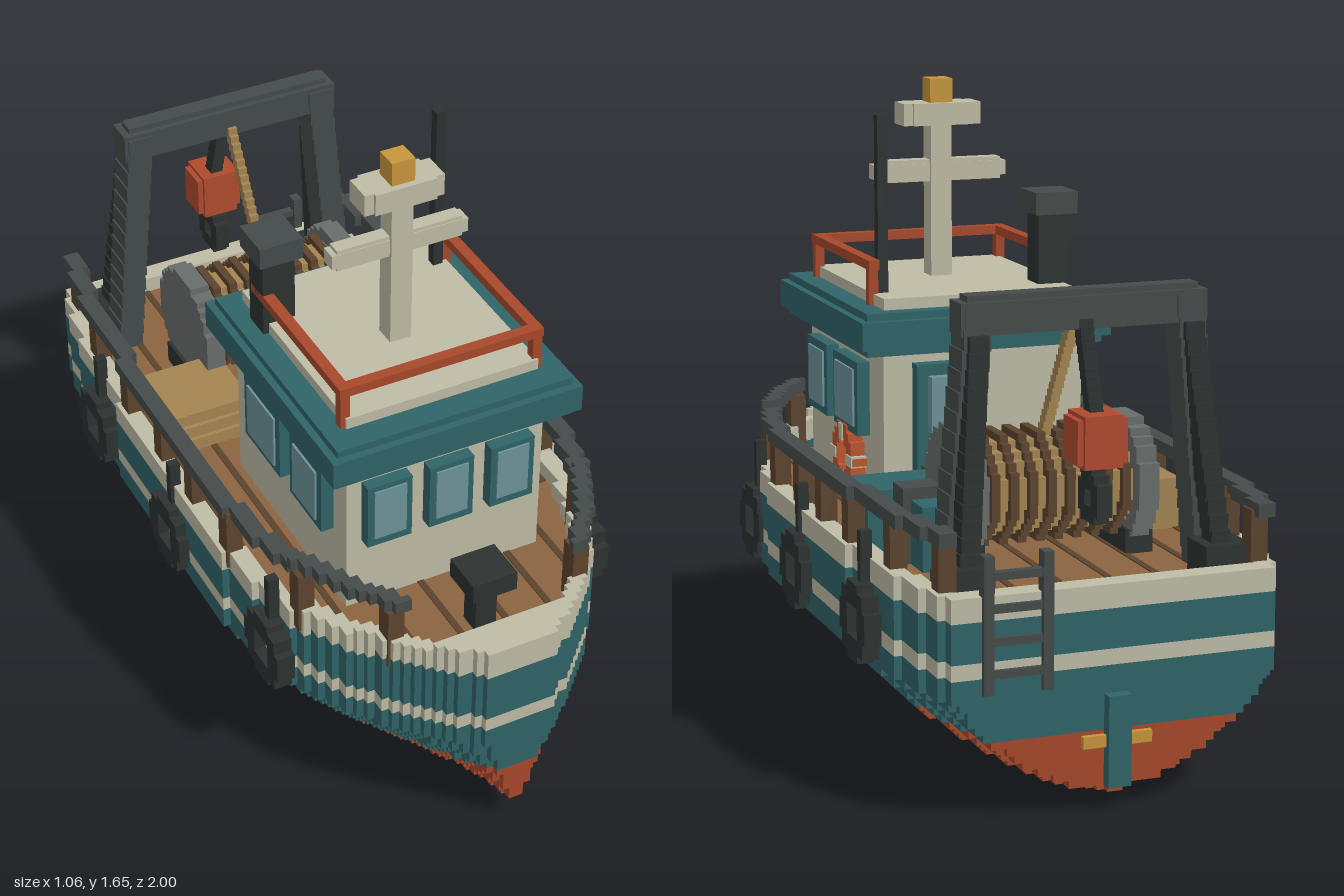
import * as THREE from 'three';
import { mergeGeometries } from 'three/addons/utils/BufferGeometryUtils.js';

const CREAM = 0xbfbca6, TEAL = 0x2f6468, RED = 0xa8482a, WOOD = 0x8a6440, DARKWOOD = 0x5c442e, TAN = 0xa58552;
const GREY = 0x454b4a, BLACK = 0x2d3231, GLASS = 0x6d949b, GOLD = 0xc8963c, STEEL = 0x686d6b;
const S = 0.0201, Z0 = -0.97, N = 98; // block size, stern position, slices along the hull

// a box is [x0, x1, y0, y1, z0, z1]
const block = (x, y, z, w, h, d) => [x - w / 2, x + w / 2, y - h / 2, y + h / 2, z - d / 2, z + d / 2];
const mirror = boxes => boxes.concat(boxes.map(([a, b, ...r]) => [-b, -a, ...r]));

function part(group, name, color, boxes) {
  const geos = boxes.map(([x0, x1, y0, y1, z0, z1]) =>
    new THREE.BoxGeometry(x1 - x0, y1 - y0, z1 - z0).translate((x0 + x1) / 2, (y0 + y1) / 2, (z0 + z1) / 2));
  const mesh = new THREE.Mesh(mergeGeometries(geos), new THREE.MeshStandardMaterial({ color }));
  mesh.name = name;
  group.add(mesh);
}

// stepped disc or ring with its axis along x
function disc(x0, x1, cy, cz, R, hole = 0) {
  const out = [], rows = Math.round(2 * R / 0.02), h = 2 * R / rows;
  for (let i = 0; i < rows; i++) {
    const y = cy - R + i * h, dy = y + h / 2 - cy;
    const snap = r => Math.round(Math.sqrt(Math.max(0, r * r - dy * dy)) / 0.02) * 0.02;
    const a = snap(R), b = snap(hole);
    if (b > 0) out.push([x0, x1, y, y + h, cz - a, cz - b], [x0, x1, y, y + h, cz + b, cz + a]);
    else out.push([x0, x1, y, y + h, cz - a, cz + a]);
  }
  return out;
}

// stepped bar between two points
function bar(a, b, n, w, h, d) {
  return Array.from({ length: n }, (_, i) => {
    const p = a.map((v, k) => v + (b[k] - v) * i / (n - 1));
    return block(...p, w, h, d);
  });
}

function lerpTable(t, x) {
  for (let i = 1; i < t.length; i++) {
    if (x <= t[i][0]) {
      const [a, p] = t[i - 1], [b, q] = t[i];
      return p + (q - p) * Math.max(0, (x - a) / (b - a));
    }
  }
  return t[t.length - 1][1];
}

const OUTLINE = [[-0.97, 0.42], [-0.88, 0.44], [-0.8, 0.46], [-0.65, 0.48], [-0.4, 0.49], [0.3, 0.49], [0.42, 0.475],
  [0.5, 0.455], [0.6, 0.425], [0.7, 0.37], [0.8, 0.3], [0.9, 0.21], [0.96, 0.145], [1, 0.08]];
const KEEL = [[-0.97, 0.05], [-0.8, 0.03], [-0.47, 0], [0.3, 0], [0.55, 0.02], [0.8, 0.04], [1, 0.06]];
const beam = z => lerpTable(OUTLINE, z);
const sheer = z => 0.56 + 0.05 * THREE.MathUtils.clamp((z - 0.5) / 0.4, 0, 1);
const snap = v => Math.round(v / 0.02) * 0.02;

function hullWidth(y, z) {
  const k = lerpTable(KEEL, z);
  if (y < k) return 0;
  const power = 0.5 + 0.4 * THREE.MathUtils.smoothstep(z, 0.45, 1);
  return snap(beam(z) * Math.min(1, (y - k) / (0.31 - k)) ** power);
}

// joins neighbouring slices with the same key into one [key, z0, z1] run
function runs(from, to, keyOf) {
  const out = [];
  for (let i = 0; i < N; i++) {
    const z = Z0 + i * S, m = z + S / 2;
    if (m < from || m > to) continue;
    const key = keyOf(m), last = out[out.length - 1];
    if (last && last[0] === key) last[2] = z + S;
    else out.push([key, z, z + S]);
  }
  return out;
}

function buildHull(g) {
  const bands = { hullBottom: [RED, []], hullSides: [TEAL, []], hullTrim: [CREAM, []] };
  for (let j = 0; j < 31; j++) {
    const y = j * 0.02, m = y + 0.01;
    const keyOf = z => {
      const w = hullWidth(m, z), top = sheer(z);
      if (w <= 0 || m > top) return '';
      const band = m < 0.2 ? 'hullBottom' : m > top - 0.065 || (m > 0.36 && m < 0.4) ? 'hullTrim' : 'hullSides';
      const solid = m < 0.5 || z > 0.87 || z < -0.9;
      return [band, w.toFixed(2), solid ? 1 : 0].join();
    };
    for (const [key, z0, z1] of runs(-1, 1, keyOf)) {
      if (!key) continue;
      const [band, ws, solid] = key.split(','), w = +ws, list = bands[band][1];
      if (solid === '1') list.push([-w, w, y, y + 0.02, z0, z1]);
      else list.push(...mirror([[w - 0.05, w, y, y + 0.02, z0, z1]]));
    }
  }
  for (const name in bands) part(g, name, ...bands[name]);

  // planked deck with dark seams
  part(g, 'deck', WOOD, runs(-0.9, 0.87, z => snap(beam(z)) - 0.04).map(([w, a, b]) => [-w, w, 0.49, 0.515, a, b]));
  const seams = [];
  for (const x of [0.065, 0.19, 0.31, 0.42]) {
    const span = runs(-0.9, 0.87, z => beam(z) - 0.06 > x).filter(r => r[0]);
    span.forEach(([, a, b]) => seams.push([x - 0.009, x + 0.009, 0.5, 0.518, a, b]));
  }
  part(g, 'deckSeams', DARKWOOD, mirror(seams));

  // handrail following the hull edge, on wooden posts
  const rail = runs(-0.92, 0.84, z => snap(beam(z)) + (z > 0.55 ? 10 : 0)).map(([k, a, b]) => {
    const w = k % 10, up = k > 5 ? 0.02 : 0;
    return [w - 0.05, w - 0.005, 0.675 + up, 0.71 + up, a, b];
  });
  part(g, 'handrail', GREY, mirror(rail));
  const posts = [0.8, 0.58, 0.28, 0.06, -0.14, -0.37, -0.64, -0.88].map(z =>
    block(snap(beam(z)) - 0.035, 0.6, z, 0.045, 0.18, 0.05));
  part(g, 'railPosts', DARKWOOD, mirror(posts));

  // tyre fenders hung on ropes
  const tyres = [], ropes = [];
  for (const z of [0.51, -0.02, -0.535]) {
    const x = beam(z);
    tyres.push(...disc(x - 0.01, x + 0.04, 0.4, z, 0.1, 0.047));
    ropes.push([x - 0.01, x + 0.02, 0.48, 0.63, z - 0.013, z + 0.013]);
  }
  part(g, 'tyreFenders', BLACK, mirror(tyres));
  part(g, 'fenderRopes', BLACK, mirror(ropes));

  // stern gear
  part(g, 'rudder', TEAL, [[-0.03, 0.03, 0.06, 0.29, -1, -0.93]]);
  part(g, 'propeller', GOLD, [[-0.09, 0.09, 0.16, 0.19, -0.985, -0.95]]);
  const ladder = [0.18, 0.33].map(x => [x - 0.013, x + 0.013, 0.32, 0.66, -0.985, -0.95]);
  for (let y = 0.36; y < 0.66; y += 0.08) ladder.push([0.18, 0.33, y, y + 0.02, -0.982, -0.96]);
  part(g, 'sternLadder', GREY, ladder);
  part(g, 'bowBollard', BLACK, [[-0.03, 0.03, 0.5, 0.66, 0.75, 0.81], [-0.063, 0.063, 0.655, 0.71, 0.73, 0.85]]);
}

function buildWheelhouse(g) {
  part(g, 'wheelhouse', CREAM, [[-0.28, 0.28, 0.5, 0.98, -0.06, 0.58]]);
  part(g, 'roofEdge', TEAL, [[-0.33, 0.33, 0.965, 0.985, -0.08, 0.63], [-0.35, 0.35, 0.985, 1.06, -0.1, 0.65],
    [-0.33, 0.33, 1.06, 1.08, -0.08, 0.63]]);
  part(g, 'roofTop', CREAM, [[-0.27, 0.27, 1.07, 1.11, -0.04, 0.56]]);

  // windows: frame with slightly raised glass
  const frames = [], glass = [];
  for (const x of [-0.175, 0, 0.175]) {
    frames.push(block(x, 0.82, 0.59, 0.125, 0.19, 0.05));
    glass.push(block(x, 0.825, 0.595, 0.09, 0.15, 0.05));
  }
  for (const [z, w] of [[0.418, 0.18], [0.163, 0.21]]) {
    frames.push(...mirror([block(0.29, 0.825, z, 0.05, 0.2, w)]));
    glass.push(...mirror([block(0.296, 0.825, z, 0.05, 0.155, w - 0.05)]));
  }
  part(g, 'windowFrames', TEAL, frames);
  part(g, 'windowGlass', GLASS, glass);
  part(g, 'door', TEAL, [[0.01, 0.2, 0.51, 0.94, -0.1, -0.05]]);
  part(g, 'doorWindow', GLASS, [[0.04, 0.17, 0.76, 0.91, -0.13, -0.09]]);
  part(g, 'doorHandle', GREY, [[0.15, 0.19, 0.62, 0.67, -0.17, -0.09]]);
  part(g, 'lifeRing', 0xc0542f, disc(0.28, 0.32, 0.645, 0.185, 0.092, 0.046));
  part(g, 'lifeRingBands', CREAM, [-1, 1].flatMap(s => [block(0.302, 0.645, 0.185 + s * 0.07, 0.044, 0.03, 0.05),
    block(0.302, 0.645 + s * 0.068, 0.185, 0.044, 0.046, 0.03)]));

  // roof rail
  const rail = [[-0.285, 0.285, 1.175, 1.2, 0.525, 0.555], [-0.285, -0.255, 1.175, 1.2, 0.05, 0.55],
    [0.255, 0.285, 1.175, 1.2, 0.04, 0.55]];
  for (const x of [-0.27, 0.27]) for (const z of [0.54, 0.06]) rail.push(block(x, 1.135, z, 0.026, 0.11, 0.026));
  part(g, 'roofRail', RED, rail);
  part(g, 'chimney', BLACK, [block(-0.24, 1.19, 0.08, 0.09, 0.22, 0.08)]);
  part(g, 'chimneyCap', GREY, [block(-0.24, 1.33, 0.08, 0.12, 0.06, 0.12)]);
  part(g, 'antenna', BLACK, [block(0.24, 1.33, 0.07, 0.028, 0.5, 0.028)]);
  part(g, 'mast', CREAM, [block(0, 1.32, 0.3, 0.06, 0.44, 0.06), block(0, 1.4, 0.3, 0.38, 0.04, 0.045),
    block(0, 1.4, 0.3, 0.35, 0.06, 0.04)]);
  part(g, 'radar', CREAM, [block(0, 1.555, 0.3, 0.22, 0.06, 0.08), block(0, 1.555, 0.3, 0.17, 0.06, 0.1)]);
  part(g, 'mastLight', GOLD, [block(0, 1.617, 0.3, 0.064, 0.066, 0.064)]);
}

function buildWorkDeck(g) {
  // storage boxes
  part(g, 'fishBox', TAN, [[-0.43, -0.2, 0.5, 0.65, -0.38, -0.17]]);
  part(g, 'tealBox', TEAL, [[0.2, 0.43, 0.5, 0.685, -0.38, -0.2]]);
  part(g, 'boxSlats', TAN, [0.53, 0.575, 0.62].flatMap(y => mirror([[0.2, 0.43, y, y + 0.035, -0.2, -0.155]])));

  // net winch
  part(g, 'winchFlanges', STEEL, mirror(disc(0.2, 0.255, 0.7, -0.48, 0.16)));
  part(g, 'winchDrum', TAN, disc(-0.2, 0.2, 0.7, -0.48, 0.12));
  const coils = [];
  for (let i = 0; i < 8; i++) coils.push(...disc(-0.186 + i * 0.05, -0.164 + i * 0.05, 0.7, -0.48, 0.14));
  part(g, 'winchCoils', DARKWOOD, coils);
  part(g, 'winchBase', BLACK, mirror([[0.19, 0.265, 0.5, 0.58, -0.58, -0.38]]));
  part(g, 'winchMotor', TEAL, [[0.255, 0.35, 0.5, 0.68, -0.57, -0.38]]);
  part(g, 'winchGear', GREY, [[0.27, 0.37, 0.5, 0.71, -0.48, -0.4]]);

  // stern gantry
  part(g, 'gantryLegs', GREY, mirror(bar([0.335, 0.53, -0.725], [0.275, 1.18, -0.725], 14, 0.07, 0.055, 0.09)));
  part(g, 'gantryBraces', BLACK, mirror(bar([0.335, 0.53, -0.83], [0.28, 1.12, -0.755], 16, 0.05, 0.045, 0.06)));
  part(g, 'gantryFeet', BLACK, mirror([[0.275, 0.395, 0.5, 0.6, -0.88, -0.77]]));
  part(g, 'gantryBeam', GREY, [[-0.32, 0.32, 1.14, 1.22, -0.765, -0.685], [-0.3, 0.3, 1.15, 1.235, -0.75, -0.7]]);
  part(g, 'winchRope', TAN, bar([0, 0.84, -0.5], [0, 1.19, -0.71], 19, 0.025, 0.03, 0.026));
  part(g, 'blockLink', BLACK, bar([0, 1.15, -0.75], [0, 0.94, -0.82], 12, 0.035, 0.03, 0.035));
  part(g, 'pulleyBlock', 0xb04a2e, [block(0, 0.885, -0.83, 0.13, 0.11, 0.09), block(0, 0.885, -0.83, 0.1, 0.13, 0.11)]);
  part(g, 'hook', BLACK, [block(0, 0.795, -0.83, 0.04, 0.06, 0.04), ...disc(-0.02, 0.02, 0.74, -0.83, 0.06, 0.025)]);
}

export function createModel() {
  const model = new THREE.Group();
  model.name = 'fishingBoat';
  for (const [name, build] of [['hull', buildHull], ['wheelhouse', buildWheelhouse], ['workDeck', buildWorkDeck]]) {
    const g = new THREE.Group();
    g.name = name;
    build(g);
    model.add(g);
  }
  return model;
}
